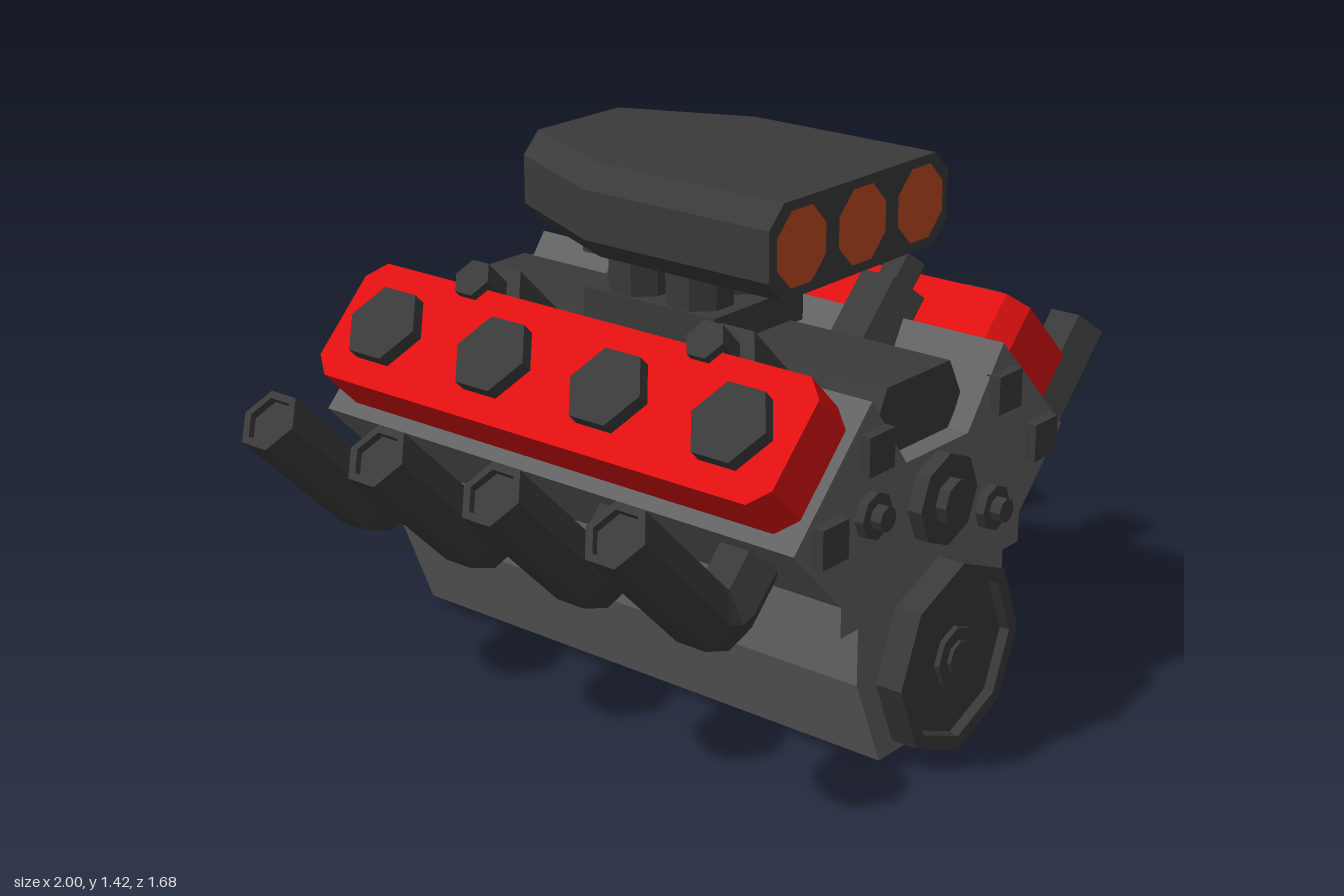
import * as THREE from 'three';

export function createModel() {
  const model = new THREE.Group();
  model.name = 'engine';

  const mat = (name, color) => {
    const m = new THREE.MeshStandardMaterial({ color });
    m.name = name;
    return m;
  };
  const grey = mat('block grey', 0x636363);
  const dark = mat('dark metal', 0x3a3a3a);
  const red = mat('cover red', 0xe01010);
  const orange = mat('intake orange', 0xc04a22);

  // Adds a faceted mesh
  function add(parent, name, geo, material, x = 0, y = 0, z = 0) {
    const g = geo.index ? geo.toNonIndexed() : geo;
    g.computeVertexNormals();
    const mesh = new THREE.Mesh(g, material);
    mesh.name = name;
    mesh.position.set(x, y, z);
    parent.add(mesh);
    return mesh;
  }

  // Extrudes a profile from z0 to z1; half profiles are mirrored across x = 0
  function extrude(half, z0, z1) {
    const mirrored = half.slice().reverse().map(([x, y]) => [-x, y]);
    const shape = new THREE.Shape([...half, ...mirrored].map(p => new THREE.Vector2(...p)));
    return new THREE.ExtrudeGeometry(shape, { depth: z1 - z0, bevelEnabled: false }).translate(0, 0, z0);
  }

  // Skins a run of equal-length rings and caps both ends
  function loft(rings) {
    const n = rings[0].length, idx = [], last = (rings.length - 1) * n;
    for (let i = 0; i < rings.length - 1; i++) {
      for (let k = 0; k < n; k++) {
        const a = i * n + k, b = i * n + (k + 1) % n;
        idx.push(a, a + n, b, b, a + n, b + n);
      }
    }
    for (let k = 1; k < n - 1; k++) idx.push(0, k, k + 1, last, last + k + 1, last + k);
    const g = new THREE.BufferGeometry();
    g.setAttribute('position', new THREE.Float32BufferAttribute(rings.flat(2), 3));
    g.setIndex(idx);
    return g;
  }

  // Turned part facing +z, profile given as [radius, z]
  const turned = (profile, sides) =>
    new THREE.LatheGeometry(profile.map(p => new THREE.Vector2(...p)), sides).rotateX(Math.PI / 2);

  // Engine block with oil pan, skirt, head slopes and valley
  add(model, 'engineBlock', extrude([
    [0.21, 0.03], [0.31, 0.27], [0.31, 0.42], [0.38, 0.42], [0.38, 0.5],
    [0.565, 0.69], [0.275, 0.985], [0.13, 0.79],
  ], -0.79, 0.75), grey);

  // Rear bell housing flange
  const flange = new THREE.CylinderGeometry(0.325, 0.325, 0.06, 8)
    .rotateY(Math.PI / 8).rotateX(Math.PI / 2).scale(0.88, 1, 1);
  add(model, 'rearFlange', flange, grey, 0, 0.37, -0.81);

  // Intake manifold in the valley, carburettor base and top plate
  add(model, 'intakeManifold', extrude([[0.13, 0.77], [0.18, 0.87], [0.13, 0.965]], -0.73, 0.69), dark);
  add(model, 'carburettorBase', new THREE.BoxGeometry(0.36, 0.09, 0.43), dark, 0, 1.0, -0.015);
  add(model, 'carburettorPlate', new THREE.BoxGeometry(0.36, 0.05, 0.43), dark, 0, 1.163, -0.015);
  for (const x of [-0.09, 0.09]) {
    for (const z of [0.08, -0.11]) {
      const barrel = new THREE.CylinderGeometry(0.09, 0.09, 0.14, 8).rotateY(Math.PI / 8);
      add(model, 'carburettorBarrel', barrel, dark, x, 1.09, z);
    }
  }

  // Air scoop tapering to the rear
  const scoopRing = (w, z) => {
    const c = 0.055, lo = 1.185, hi = 1.422;
    return [
      [w - c, lo, z], [w, lo + c, z], [w, hi - c, z], [w - c, hi, z],
      [c - w, hi, z], [-w, hi - c, z], [-w, lo + c, z], [c - w, lo, z],
    ];
  };
  add(model, 'airScoop', loft([scoopRing(0.36, 0.51), scoopRing(0.36, -0.06), scoopRing(0.21, -0.4)]), dark);
  for (const x of [-0.24, 0, 0.24]) {
    add(model, 'scoopIntake', new THREE.CircleGeometry(0.102, 8, Math.PI / 8), orange, x, 1.305, 0.513);
  }

  // Crank pulley with recessed face and stepped hub
  add(model, 'crankPulley', turned([
    [0, 0.84], [0.045, 0.84], [0.045, 0.83], [0.08, 0.83], [0.08, 0.815], [0.21, 0.815],
    [0.215, 0.84], [0.253, 0.84], [0.253, 0.765], [0.16, 0.765], [0.16, 0.74],
  ].reverse(), 8), dark, 0, 0.258, 0);

  // Accessory pulleys
  for (const [x, y, r, hub, z] of [[0, 0.665, 0.12, 0.06, 0.82], [-0.275, 0.705, 0.06, 0.032, 0.805],
    [0.235, 0.565, 0.06, 0.032, 0.805]]) {
    add(model, 'accessoryPulley', turned([
      [r, 0.74], [r, z - 0.03], [hub, z - 0.03], [hub, z], [0, z],
    ], 8), dark, x, y, 0);
  }

  // Exhaust pipe: six-sided sweep with a recessed tip
  const path = [[0.42, 0.65], [0.555, 0.515], [0.6, 0.5], [0.645, 0.515], [0.945, 0.815]]
    .map(p => new THREE.Vector2(...p));
  const R = 0.086;
  const ringAt = (p, tangent, r, stretch = 1) => Array.from({ length: 6 }, (_, k) => {
    const a = k * Math.PI / 3, s = Math.sin(a) * r * stretch;
    return [p.x - tangent.y * s, p.y + tangent.x * s, Math.cos(a) * r];
  });
  const pipeRings = path.map((p, i) => {
    const into = p.clone().sub(path[Math.max(i - 1, 0)]).normalize();
    const out = path[Math.min(i + 1, path.length - 1)].clone().sub(p).normalize();
    const t = into.clone().add(out).normalize();
    const ref = i === 0 ? out : into;
    return ringAt(p, t, R, 1 / t.dot(ref));
  });
  const tip = path[path.length - 1], tipDir = new THREE.Vector2(1, 1).normalize();
  pipeRings.push(ringAt(tip, tipDir, R * 0.75));
  pipeRings.push(ringAt(tip.clone().addScaledVector(tipDir, -0.02), tipDir, R * 0.75));

  // Chamfered outline of the valve cover
  const w = 0.17, l = 0.74, c = 0.05;
  const coverOutline = [[w - c, -l], [w, c - l], [w, l - c], [w - c, l]];

  for (const s of [1, -1]) {
    // Bank frame: local y points out of the sloping head
    const bank = new THREE.Group();
    bank.name = s > 0 ? 'leftBank' : 'rightBank';
    bank.rotation.z = -s * Math.PI / 4;
    model.add(bank);

    add(bank, 'valveCover', extrude(coverOutline, 0, 0.155).rotateX(-Math.PI / 2), red, -s * 0.297, 0.882, -0.02);

    for (const z of [0.547, 0.171, -0.205, -0.583]) {
      add(bank, 'coverCap', new THREE.CylinderGeometry(0.11, 0.11, 0.05, 6), dark, -s * 0.293, 1.05, z);
      const pipe = add(model, 'exhaustPipe', loft(pipeRings), dark, 0, 0, z);
      if (s < 0) pipe.rotation.y = Math.PI;
    }

    // Fittings on the inner edge of the cover
    for (const z of [0.36, -0.4]) {
      add(bank, 'fittingBody', new THREE.CylinderGeometry(0.1, 0.1, 0.22, 6), dark, -s * 0.48, 0.859, z);
      add(bank, 'fittingCap', new THREE.CylinderGeometry(0.055, 0.055, 0.12, 6), dark, -s * 0.48, 1.0, z);
    }

    // Square plates on both ends of the heads
    for (const [x, y] of [[0.27, 0.865], [0.445, 0.69]]) {
      for (const z of [0.76, -0.8]) {
        add(model, 'headEndPlate', new THREE.BoxGeometry(0.1, 0.1, 0.04), dark, s * x, y, z);
      }
    }
  }

  return model;
}
